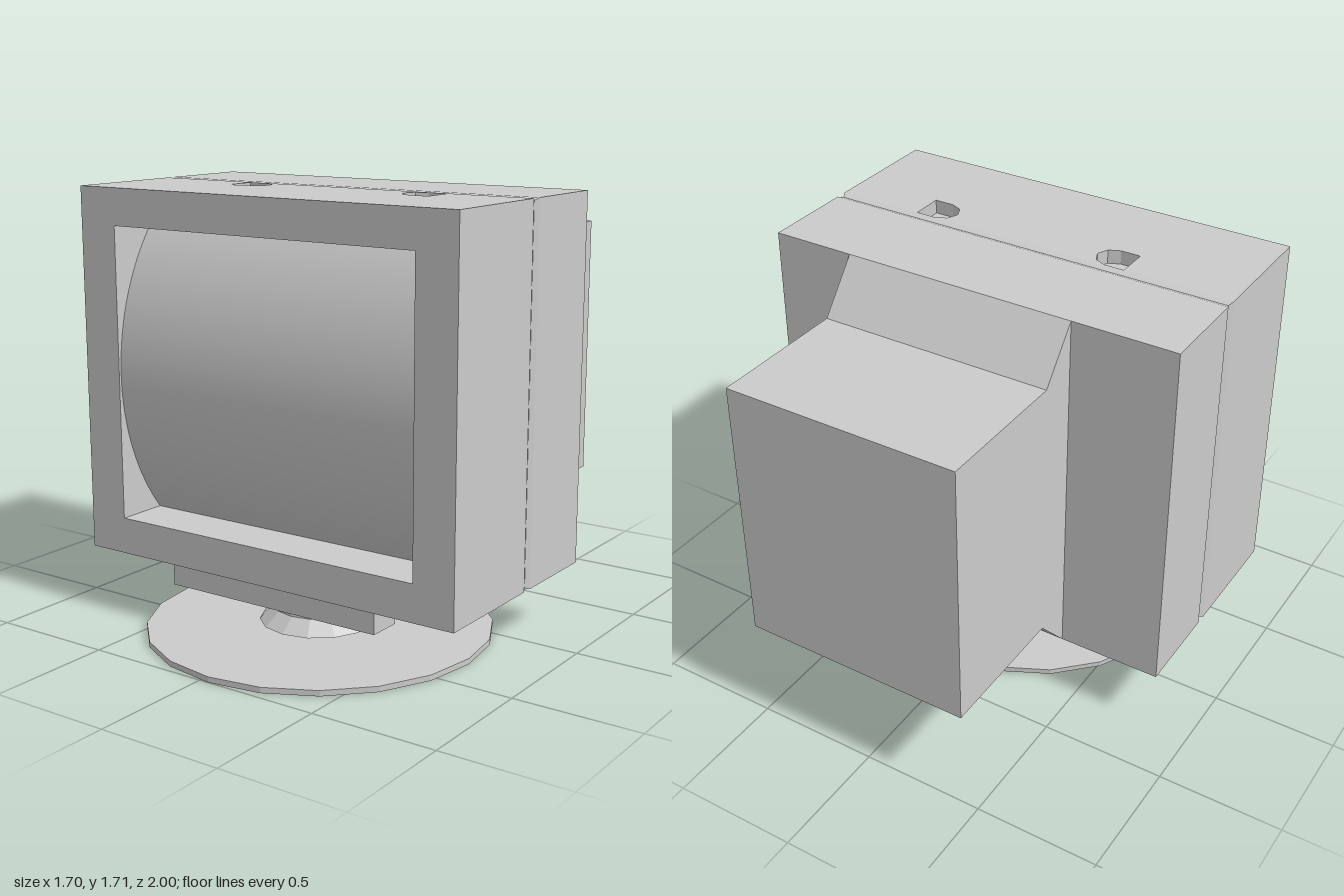
import * as THREE from 'three';

const flat = new THREE.MeshStandardMaterial({ color: 0xcccccc, flatShading: true });
const smooth = new THREE.MeshStandardMaterial({ color: 0xcccccc, side: THREE.DoubleSide });
const CX = 0.04; // centre line of the stand and rear housing

const polygon = (pts) => new THREE.Shape(pts.map(([x, y]) => new THREE.Vector2(x, y)));
const extrude = (shape, depth) => new THREE.ExtrudeGeometry(shape, { depth, bevelEnabled: false });

function rect(x0, x1, y0, y1) {
  return polygon([[x0, y0], [x1, y0], [x1, y1], [x0, y1]]);
}

function boxBetween(x0, x1, y0, y1, z0, z1) {
  return new THREE.BoxGeometry(x1 - x0, y1 - y0, z1 - z0)
    .translate((x0 + x1) / 2, (y0 + y1) / 2, (z0 + z1) / 2);
}

// Square-section lathe: profile gives [half-width factor, height]
function squareLathe(profile) {
  const pts = profile.map(([r, y]) => new THREE.Vector2(r * Math.SQRT2, y));
  return new THREE.LatheGeometry(pts, 4, Math.PI / 4);
}

export function createModel() {
  const model = new THREE.Group();
  model.name = 'monitor';
  const add = (name, geometry, material = flat) => {
    const mesh = new THREE.Mesh(geometry, material);
    mesh.name = name;
    model.add(mesh);
  };

  // Rear half of the cabinet, ending in the V groove
  add('cabinetRear', squareLathe([[0, -0.27], [1, -0.27], [1, 0.105], [0.988, 0.128], [1, 0.15], [0, 0.15]])
    .rotateX(Math.PI / 2).scale(0.85, 0.725, 1).translate(0, 0.98, 0));

  // Middle band: solid core below a top panel with two finger slots
  add('cabinetCore', boxBetween(-0.85, 0.85, 0.255, 1.65, 0.15, 0.30));
  const panel = rect(-0.85, 0.85, -0.30, -0.15);
  for (const [x, s] of [[-0.41, 1], [0.5, -1]]) {
    panel.holes.push(polygon([
      [x, -0.155], [x + s * 0.08, -0.155], [x + s * 0.125, -0.175], [x + s * 0.145, -0.22],
      [x + s * 0.125, -0.265], [x + s * 0.08, -0.285], [x, -0.285],
    ]));
  }
  add('slottedTopPanel', extrude(panel, 0.055).rotateX(-Math.PI / 2).translate(0, 1.65, 0));

  // Front bezel around the screen opening
  const bezel = rect(-0.85, 0.85, 0.255, 1.705);
  bezel.holes.push(rect(-0.68, 0.68, 0.40, 1.56));
  add('bezel', extrude(bezel, 0.35).translate(0, 0, 0.30));

  // Screen curved from top to bottom
  const radius = 0.94, half = Math.asin(0.585 / radius);
  add('screen', new THREE.CylinderGeometry(radius, radius, 1.365, 32, 1, true, -half, 2 * half)
    .rotateZ(Math.PI / 2).translate(0, 0.98, 0.64 - radius), smooth);

  // Tube housing with sloped shoulders
  const side = polygon([[0.25, 0.255], [0.27, 0.255], [0.43, 0.43], [1, 0.43],
    [1, 1.51], [0.43, 1.51], [0.27, 1.705], [0.25, 1.705]]);
  add('tubeHousing', extrude(side, 0.945).rotateY(Math.PI / 2).translate(CX - 0.4725, 0, 0));

  // Socket block under the housing, flared where it meets it
  add('socketBlock', squareLathe([[0, 0.36], [1, 0.36], [1, 0.40], [1.06, 0.42], [1.25, 0.432]])
    .scale(0.29, 1, 0.2).translate(CX, 0, -0.63));

  // Control strip under the bezel
  add('controlStrip', boxBetween(CX - 0.4725, CX + 0.4725, 0.17, 0.26, 0.505, 0.64));

  // Swivel neck and round foot
  const neck = [[0, 0.035], [0.232, 0.035], [0.175, 0.09], [0.172, 0.235], [0.182, 0.26]]
    .map(([r, y]) => new THREE.Vector2(r, y));
  add('neck', new THREE.LatheGeometry(neck, 14).translate(0.03, 0, 0.317));
  add('foot', new THREE.CylinderGeometry(0.68, 0.68, 0.022, 20).translate(CX, 0.011, 0.32));

  return model;
}
